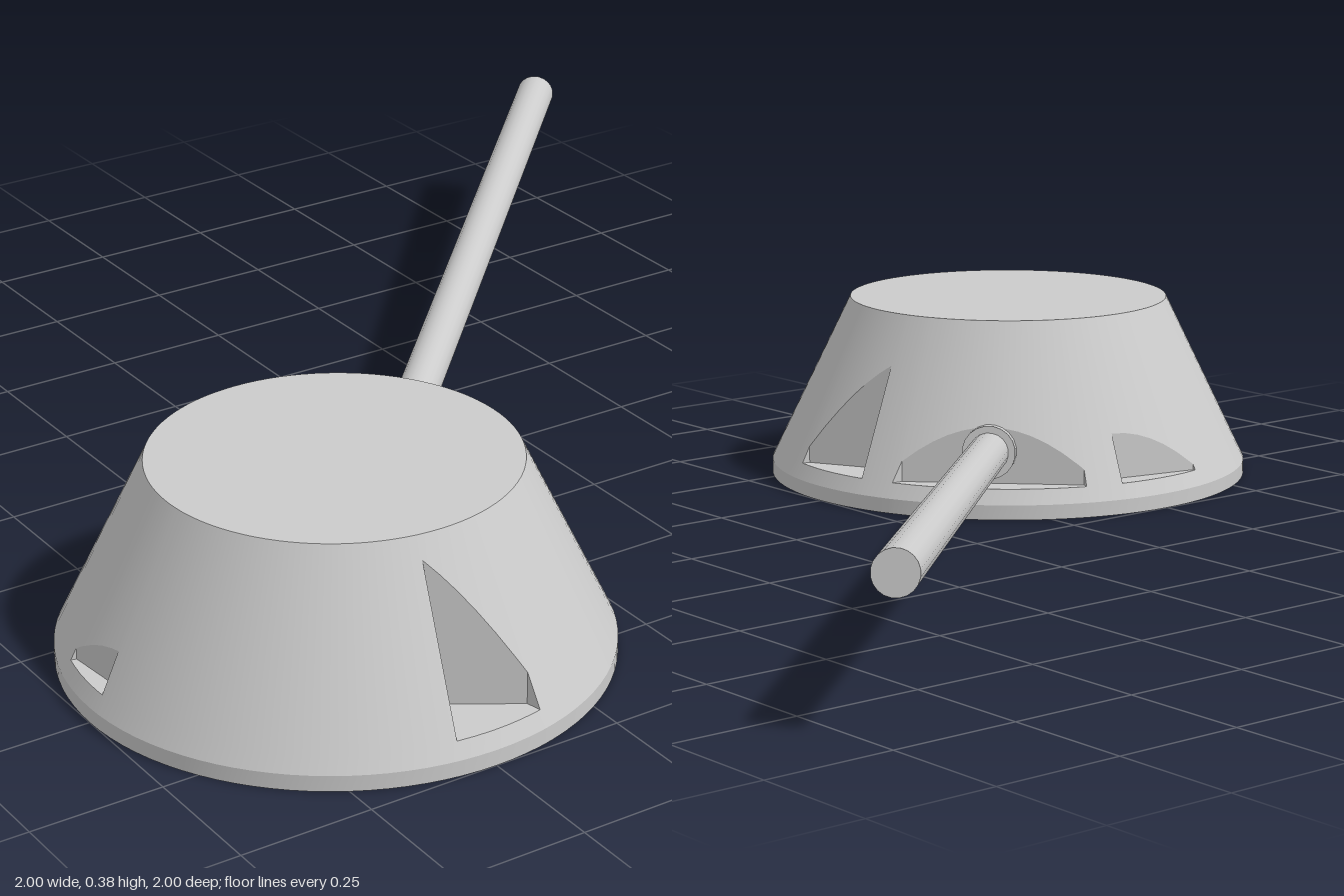
import * as THREE from 'three';
import { toCreasedNormals } from 'three/addons/utils/BufferGeometryUtils.js';

const rad = THREE.MathUtils.degToRad;
const BASE_R = 0.5, TOP_R = 0.333, RIM_Y = 0.03, TOP_Y = 0.375, FLOOR_Y = 0.06;

// Pockets cut straight down into the cone: [start angle, radius, end angle, radius];
// angles in degrees from the front (+z) towards +x, with a flat back wall between the ends
const pockets = [
  [-8, 0.352, 12.7, 0.456],     // front
  [79, 0.469, 102.3, 0.379],    // left side
  [111.2, 0.47, 158.8, 0.47],   // flat face behind the barrel
  [168.2, 0.44, 192, 0.48],     // back
  [256.5, 0.475, 272.5, 0.45],  // right side
];

const coneRadius = (y) => THREE.MathUtils.mapLinear(y, RIM_Y, TOP_Y, BASE_R, TOP_R);
const coneHeight = (r) => THREE.MathUtils.mapLinear(r, BASE_R, TOP_R, RIM_Y, TOP_Y);

// Distance from the axis to a pocket's back wall at an angle
function wallRadius(deg) {
  const outer = coneRadius(FLOOR_Y);
  for (const [a, ra, b, rb] of pockets) {
    for (const d of [deg, deg - 360]) {
      if (d < a || d > b) continue;
      const chord = ra * rb * Math.sin(rad(b - a)) /
        (ra * Math.sin(rad(d - a)) + rb * Math.sin(rad(b - d)));
      return Math.min(outer, chord);
    }
  }
  return outer;
}

// Revolved shell whose profile steps inward wherever a pocket is cut
function turretGeometry() {
  const angles = [];
  for (let i = 0; i < 96; i++) angles.push(i * 3.75);
  for (const [a, , b] of pockets) {
    for (const d of [a - 0.02, a, b, b + 0.02]) angles.push((d + 360) % 360);
  }
  angles.sort((p, q) => p - q);
  const columns = angles.map((deg) => {
    const r = wallRadius(deg);
    const profile = [
      [0, 0], [BASE_R, 0], [BASE_R, RIM_Y], [coneRadius(FLOOR_Y), FLOOR_Y],
      [r, FLOOR_Y], [r, coneHeight(r)], [TOP_R, TOP_Y], [0, TOP_Y],
    ];
    const s = Math.sin(rad(deg)), c = Math.cos(rad(deg));
    return profile.map(([pr, y]) => new THREE.Vector3(pr * s, y, pr * c));
  });

  const points = [];
  const addTriangle = (a, b, c) => {
    if (new THREE.Triangle(a, b, c).getArea() > 1e-9) points.push(a, b, c);
  };
  columns.forEach((p, i) => {
    const q = columns[(i + 1) % columns.length];
    for (let j = 0; j < p.length - 1; j++) {
      addTriangle(p[j], q[j], q[j + 1]);
      addTriangle(p[j], q[j + 1], p[j + 1]);
    }
  });
  return toCreasedNormals(new THREE.BufferGeometry().setFromPoints(points), 0.4);
}

export function createModel() {
  const group = new THREE.Group();
  const material = new THREE.MeshStandardMaterial({ color: 0xcccccc, side: THREE.DoubleSide });

  const add = (name, geometry) => {
    const mesh = new THREE.Mesh(geometry, material);
    mesh.name = name;
    group.add(mesh);
    return mesh;
  };

  // Conical turret body
  add('turretBody', turretGeometry()).position.set(-0.5, 0, 0.5);

  // Rod running between two points
  const rod = (name, from, to, radius, sides) => {
    const direction = to.clone().sub(from);
    const mesh = add(name, new THREE.CylinderGeometry(radius, radius, direction.length(), sides));
    mesh.position.copy(from).lerp(to, 0.5);
    mesh.quaternion.setFromUnitVectors(new THREE.Vector3(0, 1, 0), direction.normalize());
  };

  // Barrel rising slightly towards the back left, with a collar at its root
  const root = new THREE.Vector3(-0.3, 0.113, 0.3);
  const muzzle = new THREE.Vector3(0.97, 0.274, -0.97);
  rod('barrel', root, muzzle, 0.04, 20);
  rod('barrelCollar', root.clone().lerp(muzzle, 0.06), root.clone().lerp(muzzle, 0.1), 0.054, 20);

  return group;
}
